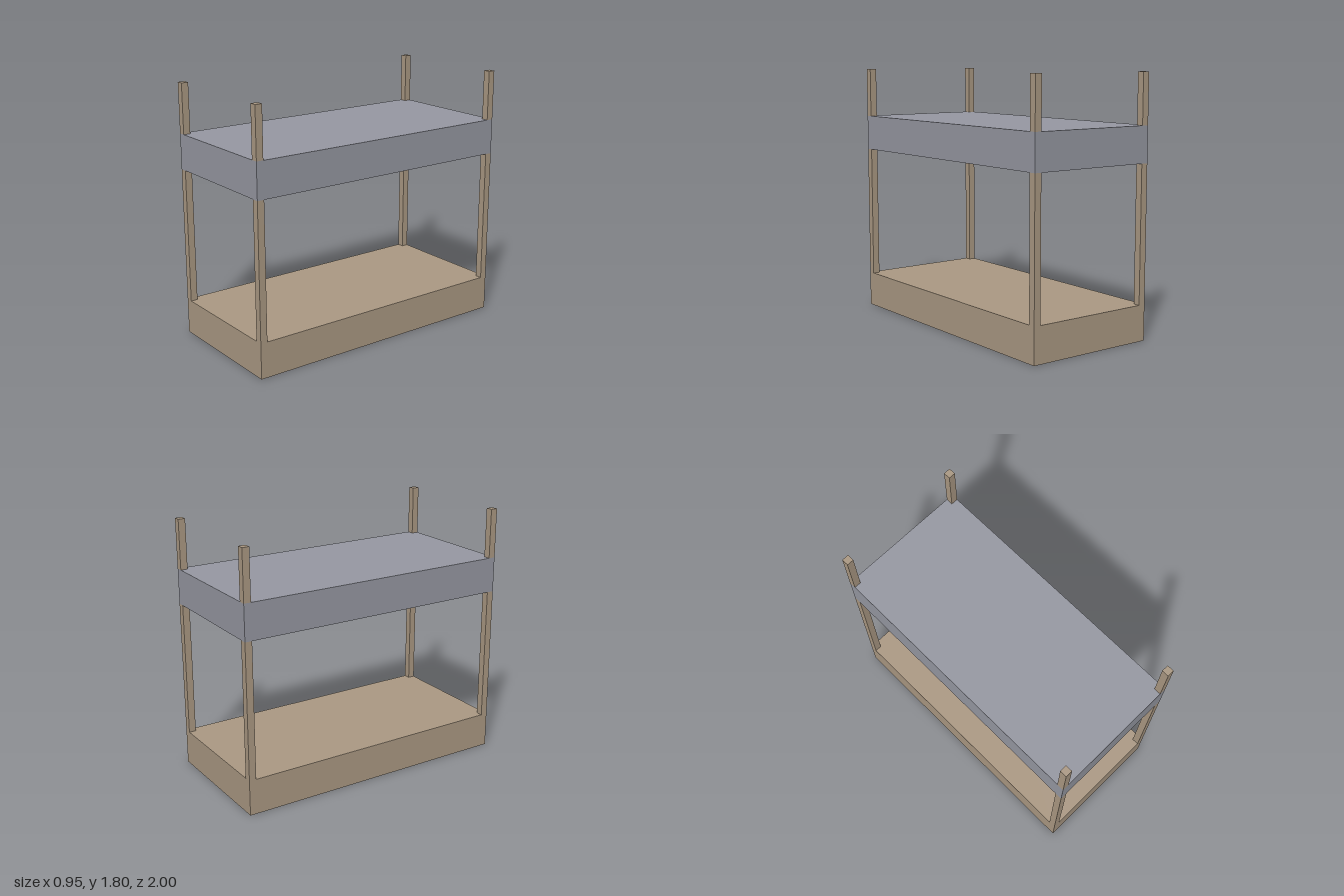
import * as THREE from 'three';

const WIDTH = 0.95, LENGTH = 2, POST = 0.05;

export function createModel() {
  const group = new THREE.Group();
  const wood = new THREE.MeshStandardMaterial({ color: 0xac9a84, flatShading: true });
  const grey = new THREE.MeshStandardMaterial({ color: 0x9799a3, flatShading: true });

  // Box spanning the heights y0 to y1
  function addBox(name, material, w, d, y0, y1, x = 0, z = 0) {
    const mesh = new THREE.Mesh(new THREE.BoxGeometry(w, y1 - y0, d), material);
    mesh.name = name;
    mesh.position.set(x, (y0 + y1) / 2, z);
    group.add(mesh);
  }

  // Lower and upper bunks
  addBox('lowerBunk', wood, WIDTH, LENGTH, 0, 0.25);
  addBox('upperBunk', grey, WIDTH, LENGTH, 1.2, 1.45);

  // Corner posts, split where they meet the bunks so no faces coincide
  for (const sx of [-1, 1]) {
    for (const sz of [-1, 1]) {
      const name = (sz > 0 ? 'front' : 'back') + (sx > 0 ? 'Left' : 'Right');
      const x = sx * (WIDTH - POST) / 2, z = sz * (LENGTH - POST) / 2;
      addBox(name + 'LowerPost', wood, POST, POST, 0.25, 1.2, x, z);
      addBox(name + 'UpperPost', wood, POST, POST, 1.45, 1.8, x, z);
    }
  }
  return group;
}
